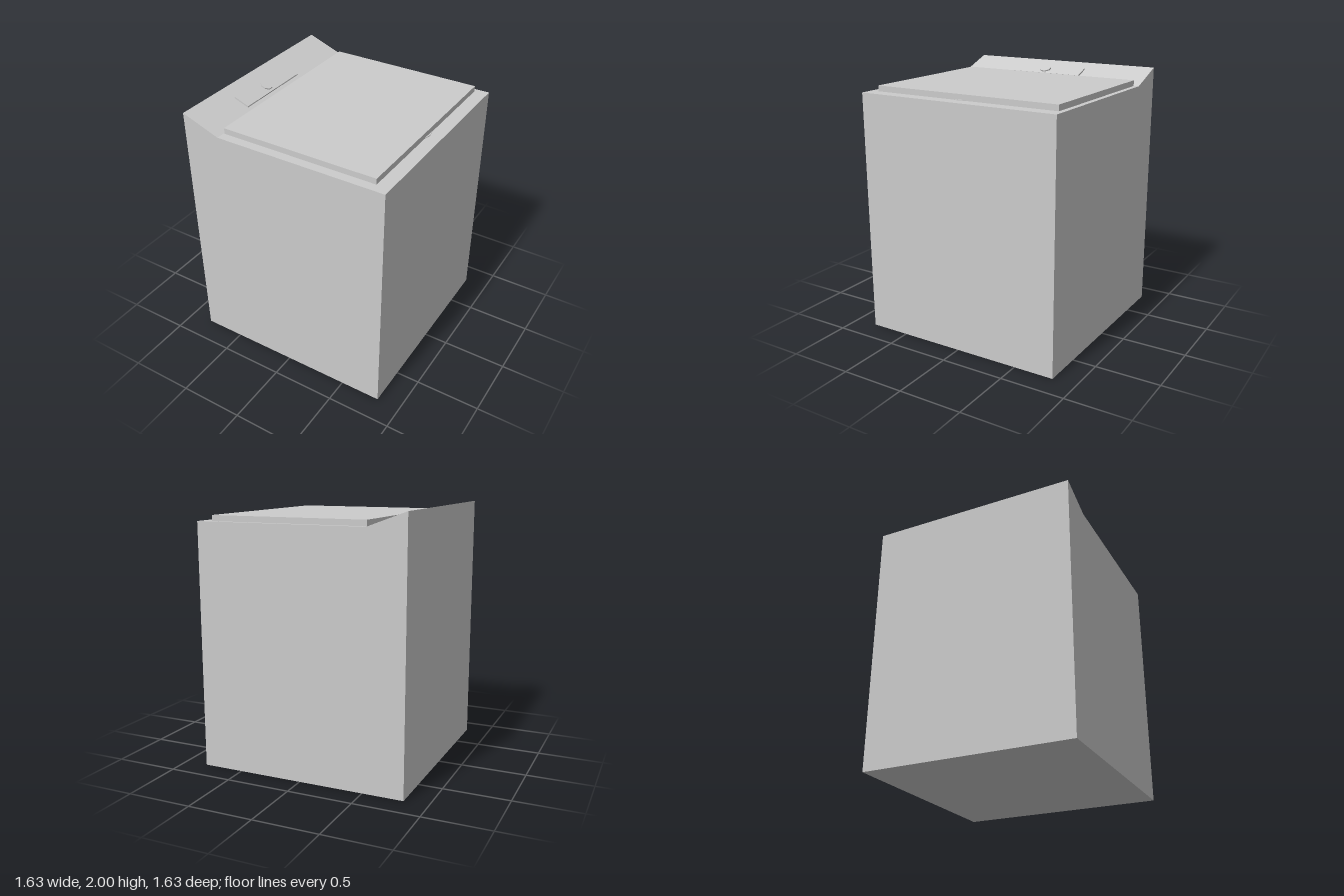
import * as THREE from 'three';

const HALF = 0.816;
const DECK = 1.89;
const SLOPE_END = -0.52;

export function createModel() {
  const model = new THREE.Group();
  const material = new THREE.MeshStandardMaterial({ color: 0xcccccc, flatShading: true });
  const add = (name, geometry, parent, x, y, z) => {
    const mesh = new THREE.Mesh(geometry, material);
    mesh.name = name;
    mesh.position.set(x, y, z);
    parent.add(mesh);
    return mesh;
  };

  // Cabinet: side profile with the sloped console, extruded along z
  const profile = new THREE.Shape([
    [-HALF, 0], [HALF, 0], [HALF, DECK], [SLOPE_END, DECK], [-HALF, 2],
  ].map(([x, y]) => new THREE.Vector2(x, y)));
  const body = new THREE.ExtrudeGeometry(profile, { depth: 2 * HALF, bevelEnabled: false });
  add('cabinet', body, model, 0, 0, -HALF);

  // Lid on the flat deck
  add('lid', new THREE.BoxGeometry(1.225, 0.044, 1.522), model, 0.1, DECK + 0.022, -0.015);

  // Thin finger tab peeking out from under the lid's edge
  const tab = new THREE.Shape([
    new THREE.Vector2(0.70, -0.075), new THREE.Vector2(0.712, -0.075),
    new THREE.Vector2(0.726, -0.015), new THREE.Vector2(0.712, 0.047),
    new THREE.Vector2(0.70, 0.047),
  ]);
  const tabGeometry = new THREE.ExtrudeGeometry(tab, { depth: 0.005, bevelEnabled: false });
  add('lidTab', tabGeometry.rotateX(-Math.PI / 2), model, 0, DECK, 0);

  // Control panel lying on the slope
  const slope = (2 - DECK) / (SLOPE_END + HALF);
  const px = -0.642;
  const controls = new THREE.Group();
  controls.name = 'controls';
  controls.position.set(px, DECK + (SLOPE_END - px) * slope, 0);
  controls.rotation.z = -Math.atan(slope);
  model.add(controls);
  add('controlPanel', new THREE.BoxGeometry(0.128, 0.016, 0.642), controls, 0, 0.004, 0.063);
  const knob = new THREE.CylinderGeometry(0.047, 0.047, 0.012, 8);
  add('knob', knob, controls, 0, 0.016, 0.076).rotation.y = Math.PI / 8;

  return model;
}
